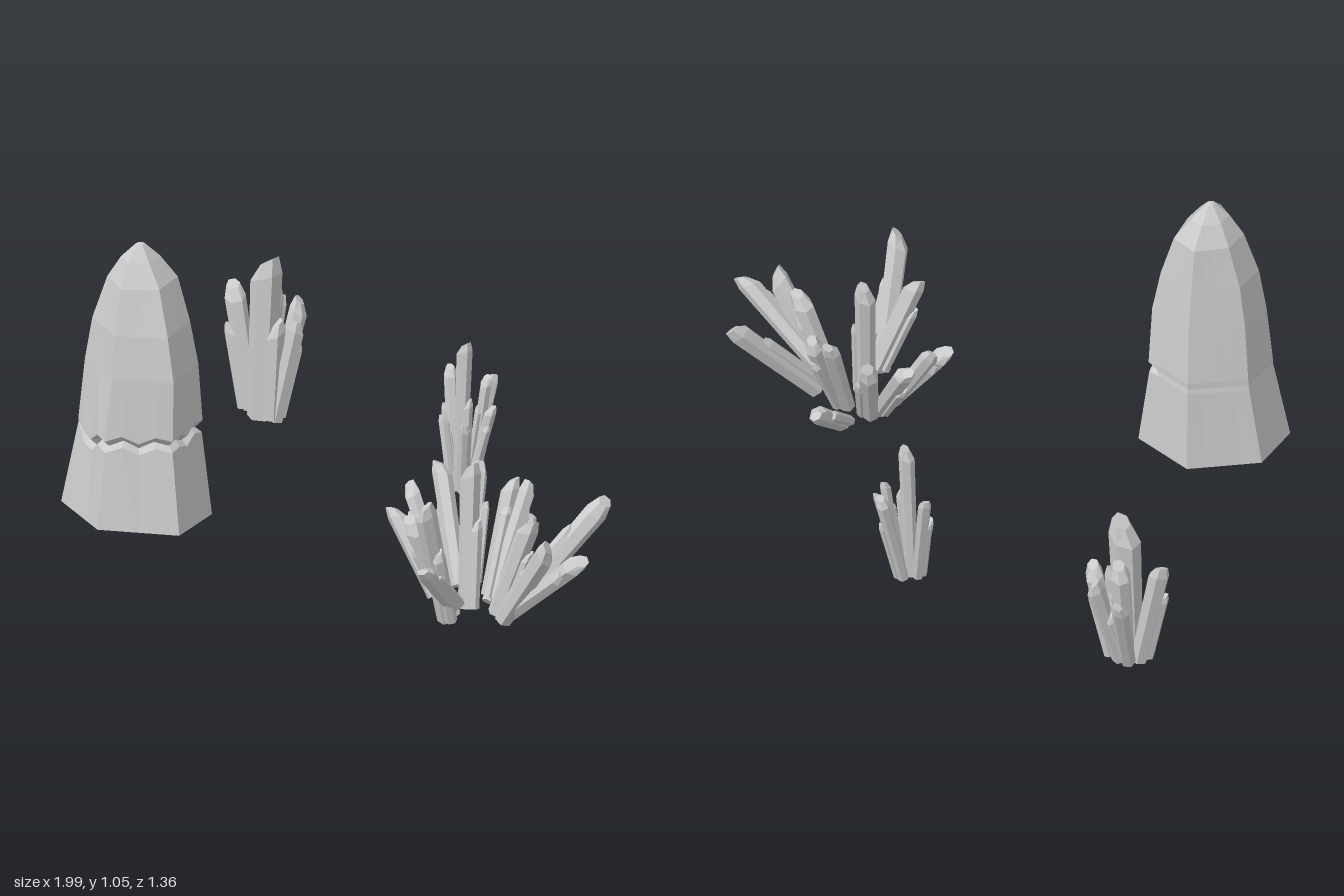
import * as THREE from 'three';

const material = new THREE.MeshStandardMaterial({ color: 0xcccccc, flatShading: true, side: THREE.DoubleSide });

// Six-sided prism from base to tip, slightly wider at the top, with a skewed bevelled point
function crystal(base, tip, r, turn) {
  const a = new THREE.Vector3(...base), b = new THREE.Vector3(...tip);
  const dir = b.clone().sub(a), L = dir.length();
  const g = new THREE.CylinderGeometry(r, r * 0.8, L, 6, 2);
  const p = g.attributes.position;
  for (let i = 0; i < p.count; i++) {
    const x = p.getX(i), y = p.getY(i), z = p.getZ(i);
    if (y > L * 0.4) {
      p.setXYZ(i, x * 0.5 + r * 0.2, y + x * 0.35, z * 0.6);
    } else if (Math.abs(y) < L * 0.1) {
      p.setXYZ(i, x * 1.05, L / 2 - r * 1.1 + x * 0.45, z * 1.05);
    }
  }
  g.rotateY(turn);
  const mesh = new THREE.Mesh(g, material);
  mesh.name = 'crystal';
  mesh.position.copy(a).lerp(b, 0.5);
  mesh.quaternion.setFromUnitVectors(new THREE.Vector3(0, 1, 0), dir.normalize());
  return mesh;
}

// Each row: base xyz, tip xyz, radius; a shorter partner grows beside each crystal
function cluster(name, rows) {
  const group = new THREE.Group();
  group.name = name;
  rows.forEach(([bx, by, bz, tx, ty, tz, r], i) => {
    const turn = i * 2.4;
    group.add(crystal([bx, by, bz], [tx, ty, tz], r, turn));
    const ox = Math.cos(turn) * r * 0.8, oz = Math.sin(turn) * r * 0.8;
    const k = 0.62 + 0.06 * (i % 4);
    group.add(crystal(
      [bx + ox, by + 0.005, bz + oz],
      [bx + (tx - bx) * k + ox, by + (ty - by) * k, bz + (tz - bz) * k + oz],
      r * 0.65, turn + 1));
  });
  return group;
}

// Standing stone: stacked cross-sections with a jagged crack on the front and right faces
function standingStone() {
  const corners = [[-0.556, 0.278], [-0.35, 0.326], [-0.305, 0.535], [-0.51, 0.678], [-0.738, 0.578], [-0.738, 0.417]];
  const C = [-0.522, 0.478], H = [0.217, 0.2], div = 4;
  const outline = [];
  corners.forEach((c, i) => {
    const d = corners[(i + 1) % corners.length];
    for (let k = 0; k < div; k++) {
      const t = k / div;
      outline.push([(c[0] + (d[0] - c[0]) * t - C[0]) / H[0], (c[1] + (d[1] - c[1]) * t - C[1]) / H[1]]);
    }
  });
  // height, centre x and z, half width and depth, crack depth
  const rings = [
    [0.17, -0.522, 0.478, 0.217, 0.2, 0],
    [0.43, -0.524, 0.463, 0.174, 0.174, 0.001],
    [0.447, -0.524, 0.463, 0.171, 0.171, 0.1],
    [0.468, -0.524, 0.463, 0.17, 0.172, -0.03],
    [0.66, -0.517, 0.46, 0.163, 0.151, 0],
    [0.8, -0.522, 0.457, 0.138, 0.134, 0],
    [0.94, -0.528, 0.445, 0.094, 0.106, 0],
    [1.01, -0.535, 0.445, 0.05, 0.062, 0],
    [1.055, -0.535, 0.445, 0.012, 0.015, 0],
  ];
  const jag = [0, 0.012, -0.01, 0.014, -0.004, 0.01, -0.014, 0.004];
  const n = outline.length, pos = [], idx = [];
  rings.forEach(([y, cx, cz, hx, hz, cut], ri) => {
    outline.forEach(([u, v], i) => {
      const cracked = cut !== 0 && u + v > -0.15;
      const s = cracked ? 1 - cut : 1;
      let h = y;
      if (cracked) h += jag[i % 8] + (v > 0.5 && u < 0 ? u * 0.05 : 0);
      if (ri === 0) h += v * 0.014;
      pos.push(cx + u * hx * s, h, cz + v * hz * s);
    });
  });
  for (let r = 0; r < rings.length - 1; r++) {
    for (let i = 0; i < n; i++) {
      const j = (i + 1) % n, a = r * n + i, b = r * n + j, c = b + n, d = a + n;
      idx.push(a, d, c, a, c, b);
    }
  }
  // bottom and peak caps
  const low = pos.length / 3, top = low + 1, last = (rings.length - 1) * n;
  pos.push(-0.522, 0.17, 0.478, -0.535, 1.06, 0.445);
  for (let i = 0; i < n; i++) {
    const j = (i + 1) % n;
    idx.push(low, i, j, top, last + j, last + i);
  }
  const g = new THREE.BufferGeometry();
  g.setAttribute('position', new THREE.Float32BufferAttribute(pos, 3));
  g.setIndex(idx);
  g.computeVertexNormals();
  const mesh = new THREE.Mesh(g, material);
  mesh.name = 'standingStone';
  return mesh;
}

export function createModel() {
  const model = new THREE.Group();
  model.name = 'stoneAndCrystals';
  model.add(standingStone());

  model.add(cluster('mediumCluster', [
    [-0.84, 0.05, -0.49, -0.835, 0.57, -0.515, 0.052],
    [-0.88, 0.06, -0.5, -0.965, 0.45, -0.51, 0.035],
    [-0.79, 0.05, -0.5, -0.735, 0.38, -0.54, 0.032],
    [-0.86, 0.06, -0.53, -0.91, 0.37, -0.66, 0.029],
    [-0.83, 0.06, -0.53, -0.8, 0.4, -0.635, 0.031],
    [-0.85, 0.06, -0.52, -0.86, 0.45, -0.58, 0.034],
  ]));

  model.add(cluster('smallCluster', [
    [-0.05, 0.04, -0.49, -0.045, 0.525, -0.51, 0.026],
    [-0.08, 0.05, -0.5, -0.145, 0.4, -0.56, 0.022],
    [-0.075, 0.05, -0.48, -0.115, 0.27, -0.49, 0.018],
    [-0.02, 0.04, -0.5, 0.045, 0.33, -0.53, 0.019],
    [-0.03, 0.04, -0.48, 0.025, 0.3, -0.43, 0.018],
    [-0.04, 0.04, -0.52, -0.02, 0.39, -0.615, 0.022],
    [-0.03, 0.04, -0.52, 0.005, 0.41, -0.555, 0.019],
  ]));

  model.add(cluster('largeCluster', [
    // upright centre
    [0.54, 0.06, 0.18, 0.51, 0.51, 0.125, 0.034],
    // back fan with one low crystal
    [0.545, 0.03, 0.05, 0.495, 0.23, -0.18, 0.032],
    [0.57, 0.07, 0.09, 0.58, 0.4, -0.07, 0.03],
    [0.55, 0.07, 0.09, 0.52, 0.4, -0.06, 0.03],
    // back left
    [0.45, 0.08, 0.11, 0.26, 0.39, -0.03, 0.032],
    [0.46, 0.08, 0.08, 0.36, 0.39, -0.09, 0.033],
    // left
    [0.43, 0.09, 0.16, 0.26, 0.37, 0.12, 0.029],
    [0.44, 0.08, 0.21, 0.265, 0.32, 0.2, 0.032],
    // front
    [0.56, 0.07, 0.3, 0.58, 0.5, 0.43, 0.036],
    [0.57, 0.08, 0.28, 0.475, 0.4, 0.37, 0.033],
    [0.585, 0.12, 0.3, 0.625, 0.32, 0.49, 0.03],
    // right
    [0.7, 0.08, 0.185, 0.98, 0.34, 0.165, 0.034],
    [0.71, 0.08, 0.21, 0.89, 0.37, 0.205, 0.036],
    [0.65, 0.07, 0.17, 0.75, 0.39, 0.125, 0.035],
    // back right
    [0.67, 0.08, 0.1, 0.83, 0.39, -0.13, 0.038],
  ]));
  return model;
}
